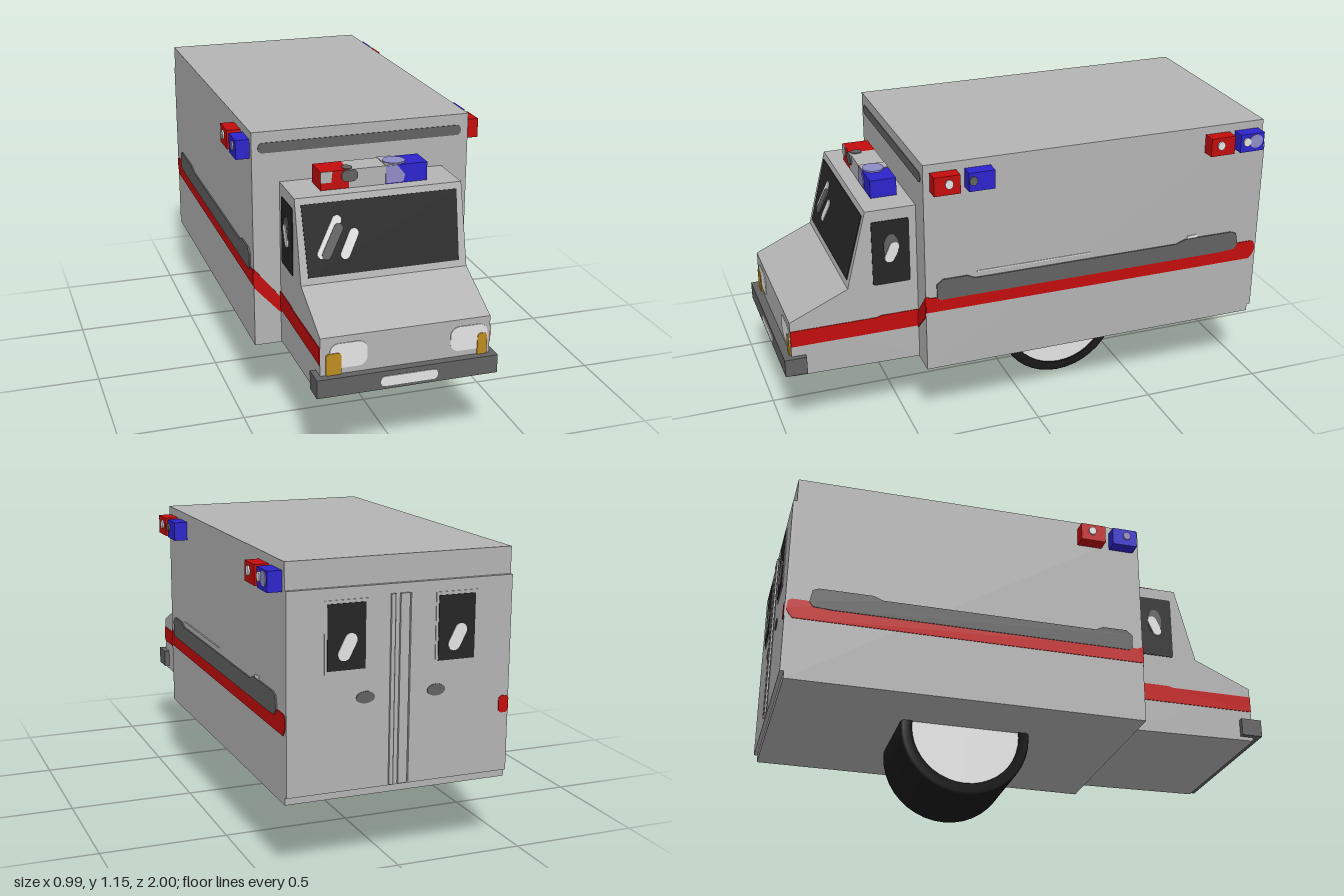
import * as THREE from 'three';

const mat = (name, color, opts = {}) => {
  const m = new THREE.MeshStandardMaterial({ color, ...opts });
  m.name = name;
  return m;
};

export function createModel() {
  const body = mat('body grey', 0xb4b4b4);
  const white = mat('white', 0xe4e4e4);
  const grey = mat('dark grey', 0x626262);
  const glass = mat('dark glass', 0x252525);
  const rubber = mat('tyre black', 0x1a1a1a);
  const red = mat('red', 0xc40d0d);
  const blue = mat('blue', 0x2d24cc);
  const paleBlue = mat('pale blue', 0x8f8cc8);
  const amber = mat('amber', 0xbd8d20);

  const model = new THREE.Group();
  model.name = 'ambulance';

  // Box from its limits
  const box = (name, m, x0, x1, y0, y1, z0, z1) => {
    const mesh = new THREE.Mesh(new THREE.BoxGeometry(x1 - x0, y1 - y0, z1 - z0), m);
    mesh.position.set((x0 + x1) / 2, (y0 + y1) / 2, (z0 + z1) / 2);
    mesh.name = name;
    model.add(mesh);
    return mesh;
  };

  // A face is a group whose local xy plane lies on a body panel
  const face = (name, x, y, z, rx, ry) => {
    const g = new THREE.Group();
    g.name = name;
    g.position.set(x, y, z);
    g.rotation.set(rx, ry, 0);
    model.add(g);
    return g;
  };
  // Thin plate laid on a face; higher layers sit on lower ones
  const plate = (name, m, shape, parent, layer = 1) => {
    const geo = new THREE.ExtrudeGeometry(shape, { depth: 0.003 * layer, bevelEnabled: false, curveSegments: 8 });
    const mesh = new THREE.Mesh(geo, m);
    mesh.name = name;
    parent.add(mesh);
    return mesh;
  };
  const poly = (...p) => new THREE.Shape(p.map(([x, y]) => new THREE.Vector2(x, y)));
  const rect = (x0, x1, y0, y1) => poly([x0, y0], [x1, y0], [x1, y1], [x0, y1]);
  const oval = (x, y, rx, ry) => new THREE.Shape().absellipse(x, y, rx, ry, 0, Math.PI * 2);
  const rounded = (x0, x1, y0, y1, r) => {
    const s = new THREE.Shape();
    s.absarc(x1 - r, y0 + r, r, -Math.PI / 2, 0);
    s.absarc(x1 - r, y1 - r, r, 0, Math.PI / 2);
    s.absarc(x0 + r, y1 - r, r, Math.PI / 2, Math.PI);
    s.absarc(x0 + r, y0 + r, r, Math.PI, Math.PI * 1.5);
    return s;
  };
  // Slanted pill between two points
  const streak = (x0, y0, x1, y1, r) => {
    const a = Math.atan2(y1 - y0, x1 - x0), s = new THREE.Shape();
    s.absarc(x1, y1, r, a - Math.PI / 2, a + Math.PI / 2);
    s.absarc(x0, y0, r, a + Math.PI / 2, a + Math.PI * 1.5);
    return s;
  };

  // Rear compartment and its door panel
  box('compartment', body, -0.435, 0.435, 0.285, 1.155, -0.98, 0.45);
  box('rearDoors', body, -0.435, 0.435, 0.315, 1.055, -0.995, -0.98);

  // Cab: side profile swept across the width
  const cabShape = poly([0.44, 0.29], [0.965, 0.3], [0.965, 0.535], [0.73, 0.64], [0.65, 0.953], [0.44, 0.953]);
  const cab = new THREE.Mesh(new THREE.ExtrudeGeometry(cabShape, { depth: 0.656, bevelEnabled: false }), body);
  cab.rotation.y = -Math.PI / 2;
  cab.position.x = 0.328;
  cab.name = 'cab';
  model.add(cab);

  // Single wide wheel, partly inside the compartment
  const tyreProfile = [[0.22, -0.183], [0.255, -0.183], [0.264, -0.172], [0.264, 0.172],
    [0.255, 0.183], [0.22, 0.183], [0.22, -0.183]].map(([r, y]) => new THREE.Vector2(r, y));
  const wheel = new THREE.Group();
  wheel.name = 'wheel';
  const tyre = new THREE.Mesh(new THREE.LatheGeometry(tyreProfile, 40), rubber);
  tyre.name = 'tyre';
  const hub = new THREE.Mesh(new THREE.CylinderGeometry(0.222, 0.222, 0.35, 40), white);
  hub.name = 'hub';
  wheel.add(tyre, hub);
  wheel.rotation.z = Math.PI / 2;
  wheel.position.set(0, 0.264, -0.22);
  model.add(wheel);

  // Bumper with number plate
  box('bumper', grey, -0.35, 0.35, 0.315, 0.387, 0.91, 0.997);
  plate('numberPlate', white, rounded(-0.108, 0.112, 0.328, 0.367, 0.015), face('bumperFace', 0, 0, 0.997, 0, 0));

  // Headlights and indicators
  const nose = face('noseFace', 0, 0, 0.965, 0, 0);
  plate('headlightRight', white, rounded(-0.293, -0.15, 0.41, 0.508, 0.035), nose);
  plate('headlightLeft', white, rounded(0.172, 0.318, 0.41, 0.508, 0.035), nose);
  plate('indicatorRight', amber, rounded(-0.308, -0.25, 0.38, 0.472, 0.015), nose, 2);
  plate('indicatorLeft', amber, rounded(0.278, 0.316, 0.38, 0.472, 0.015), nose, 2);

  // Windscreen with reflections, tilted with the cab
  const screen = face('windscreenFace', 0, 0.64, 0.73, -Math.atan2(0.08, 0.313), 0);
  plate('windscreen', glass, poly([-0.298, 0.026], [0.298, 0.026], [0.306, 0.298], [-0.306, 0.298]), screen);
  plate('reflection', white, streak(-0.24, 0.11, -0.175, 0.23, 0.018), screen, 2);
  plate('reflectionShade', grey, streak(-0.222, 0.105, -0.17, 0.2, 0.018), screen, 3);
  plate('reflection', white, streak(-0.15, 0.1, -0.112, 0.175, 0.018), screen, 2);

  // Front of the compartment: dark strip and slanted red stripes
  const bulkhead = face('compartmentFront', 0, 0, 0.45, 0, 0);
  plate('topStrip', grey, rounded(-0.41, 0.405, 1.072, 1.112, 0.018), bulkhead);
  plate('frontStripeRight', red, poly([-0.435, 0.53], [-0.326, 0.41], [-0.326, 0.475], [-0.435, 0.61]), bulkhead);
  plate('frontStripeLeft', red, poly([0.326, 0.42], [0.435, 0.52], [0.435, 0.605], [0.326, 0.49]), bulkhead);

  // Both sides; outlines are given along z
  for (const side of [1, -1]) {
    const label = side > 0 ? 'Left' : 'Right';
    const turn = side * Math.PI / 2;
    const wall = face('compartmentSide' + label, side * 0.435, 0, 0, 0, turn);
    const door = face('cabSide' + label, side * 0.328, 0, 0, 0, turn);
    const along = (...p) => poly(...p.map(([z, y]) => [-side * z, y]));

    plate('sideStripe', red, along([0.45, 0.538], [-0.965, 0.538], [-0.98, 0.555], [-0.99, 0.575], [-0.985, 0.61],
      [-0.97, 0.618], [-0.91, 0.618], [-0.88, 0.6], [0.43, 0.6], [0.45, 0.61]), wall);
    plate('sideBand', grey, along([0.405, 0.6], [0.395, 0.588], [-0.82, 0.59], [-0.89, 0.595], [-0.905, 0.615],
      [-0.895, 0.665], [-0.87, 0.675], [-0.66, 0.675], [-0.62, 0.66], [0.25, 0.66], [0.28, 0.675],
      [0.38, 0.675], [0.405, 0.655]), wall, 2);
    if (side > 0) {
      plate('bandHighlight', white, along([0.24, 0.682], [0.24, 0.687], [-0.24, 0.687], [-0.24, 0.682]), wall);
      plate('bandHighlight', white, along([-0.67, 0.67], [-0.67, 0.686], [-0.715, 0.69], [-0.715, 0.67]), wall);
    }

    plate('cabStripe', red, along([0.965, 0.43], [0.965, 0.497], [0.62, 0.497], [0.6, 0.503], [0.45, 0.503], [0.45, 0.43]), door);
    plate('sideWindow', glass, rounded(-side * 0.5535 - 0.075, -side * 0.5535 + 0.075, 0.638, 0.906, 0.008), door);
    plate('windowShade', grey, oval(-side * 0.552, 0.795, 0.03, 0.055), door, 2);
    plate('windowReflection', white, streak(-side * 0.56, 0.75, -side * 0.54, 0.795, 0.02), door, 3);
  }

  // Warning lamps: [side, z centre, colour, highlight z, highlight material]
  const lamps = [
    [1, 0.372, red, 0.365, white], [1, 0.235, blue, 0.27, grey],
    [1, -0.775, red, -0.765, white], [1, -0.905, blue, -0.88, white],
    [-1, 0.372, blue, 0.38, paleBlue], [-1, 0.235, red, 0.23, white],
  ];
  for (const [side, z, m, hz, hm] of lamps) {
    const [x0, x1] = side > 0 ? [0.435, 0.489] : [-0.489, -0.435];
    box('warningLamp', m, x0, x1, 1.047, 1.122, z - 0.052, z + 0.052);
    const g = face('lampFace', side * 0.489, 0, 0, 0, side * Math.PI / 2);
    plate('lampHighlight', hm, oval(-side * hz, 1.09, 0.016, 0.018), g, 2);
  }
  plate('lampGlow', paleBlue, oval(0.92, 1.09, 0.03, 0.028), face('lampFace', 0.489, 0, 0, 0, Math.PI / 2));

  // Roof light bar in red, grey and blue
  box('barRed', red, -0.211, -0.1, 0.95, 1.025, 0.49, 0.595);
  box('barCentre', body, -0.1, 0.045, 0.95, 1.025, 0.49, 0.595);
  box('barBlue', blue, 0.045, 0.211, 0.95, 1.025, 0.49, 0.595);
  const barFront = face('barFront', 0, 0, 0.595, 0, 0);
  const barTop = face('barTop', 0, 1.025, 0, -Math.PI / 2, 0);
  plate('barPanel', body, poly([-0.211, 0.982], [-0.17, 0.982], [-0.165, 1.025], [-0.211, 1.025]), barFront);
  plate('barSpot', grey, rounded(-0.13, -0.066, 0.98, 1.025, 0.02), barFront, 2);
  plate('barGlow', paleBlue, poly([0.045, 0.957], [0.115, 0.957], [0.122, 0.985], [0.09, 1.025], [0.045, 1.025]), barFront);
  plate('barSpot', grey, oval(-0.1, -0.568, 0.02, 0.024), barTop);
  plate('barPanel', body, rect(0.045, 0.1, -0.595, -0.49), barTop);
  plate('barGlow', paleBlue, oval(0.092, -0.55, 0.044, 0.042), barTop, 2);

  // Rear doors: windows, handles, centre ridges (local x runs towards the right)
  const rear = face('rearFace', 0, 0, -0.995, 0, Math.PI);
  for (const s of [-1, 1]) {
    const c = s * 0.213;
    plate('rearWindowFrame', body, rect(c - 0.082, c + 0.082, 0.75, 1.012), rear);
    plate('rearWindow', glass, rect(c - 0.072, c + 0.072, 0.762, 1.0), rear, 2);
    plate('rearReflection', white, streak(c - 0.01, 0.82, c + 0.015, 0.87, 0.024), rear, 3);
    plate('rearHandle', grey, oval(s * 0.138, 0.655, 0.036, 0.022), rear);
  }
  plate('doorRidge', body, rect(-0.045, -0.03, 0.32, 1.02), rear, 3);
  plate('doorSeam', grey, rect(-0.03, -0.025, 0.32, 1.02), rear);
  plate('doorRidge', body, rect(-0.01, 0.025, 0.32, 1.02), rear, 3);
  plate('doorSeam', grey, rect(0.025, 0.035, 0.32, 1.02), rear);
  plate('stripeWrap', red, rounded(0.395, 0.435, 0.54, 0.605, 0.015), rear);
  return model;
}
